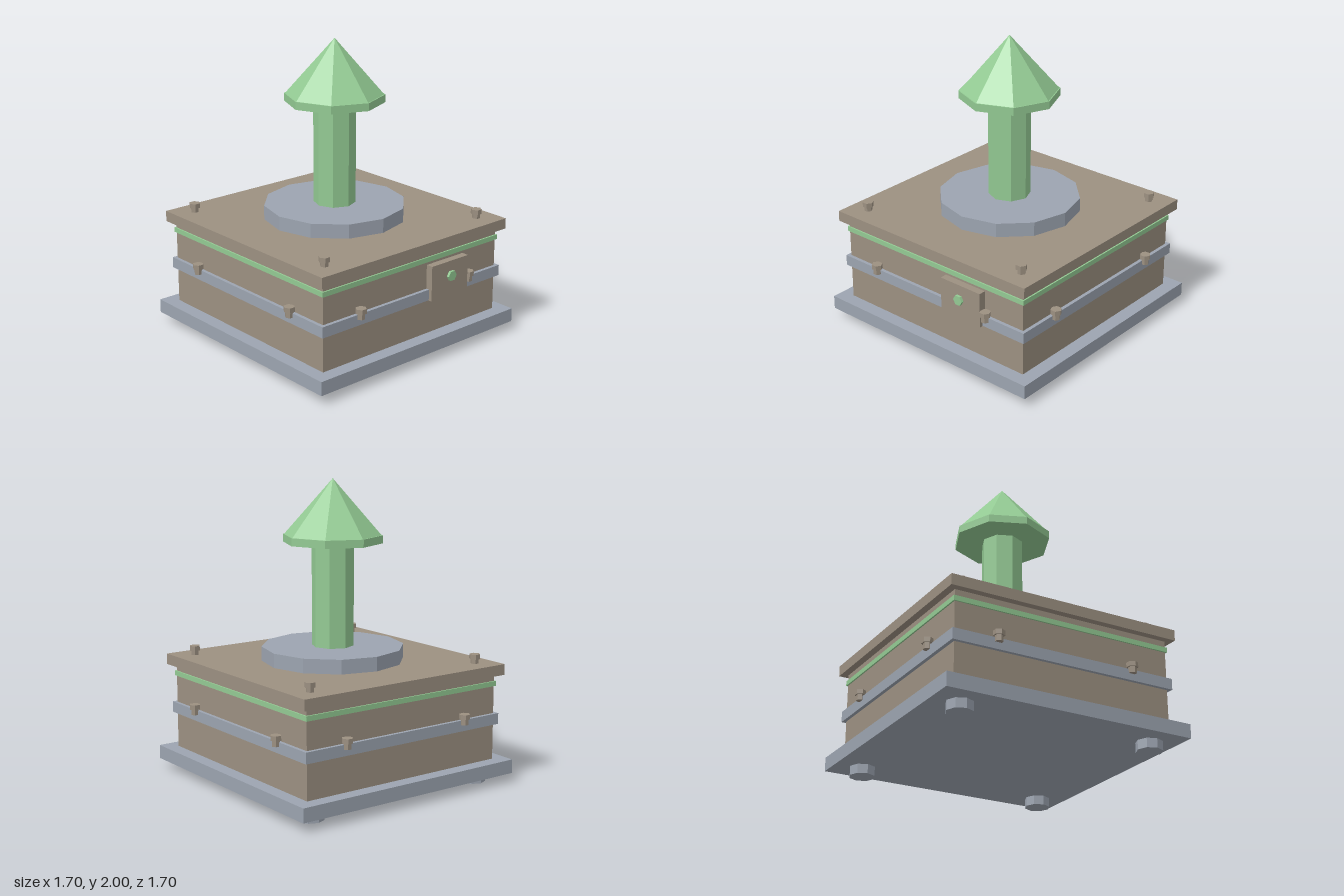
import * as THREE from 'three';

const material = (name, color) => {
  const m = new THREE.MeshStandardMaterial({ color });
  m.name = name;
  m.flatShading = true;
  return m;
};

export function createModel() {
  const tan = material('tan metal', 0x9c9081);
  const grey = material('blue grey metal', 0x9ca4b0);
  const green = material('pale green', 0x93ca93);

  const model = new THREE.Group();
  model.name = 'spikeOnBase';

  const add = (parent, name, geometry, mat, x = 0, y = 0, z = 0) => {
    const mesh = new THREE.Mesh(geometry, mat);
    mesh.name = name;
    mesh.position.set(x, y, z);
    parent.add(mesh);
    return mesh;
  };
  // Square slab between two heights
  const slab = (name, half, y0, y1, mat) =>
    add(model, name, new THREE.BoxGeometry(half * 2, y1 - y0, half * 2), mat, 0, (y0 + y1) / 2, 0);
  // Upright prism between two heights
  const prism = (parent, name, sides, r, y0, y1, mat, x = 0, z = 0) =>
    add(parent, name, new THREE.CylinderGeometry(r, r, y1 - y0, sides), mat, x, (y0 + y1) / 2, z);

  // Stacked square base
  slab('basePlate', 0.85, 0.062, 0.155, grey);
  slab('body', 0.756, 0.155, 0.73, tan);
  slab('trimBand', 0.78, 0.395, 0.468, grey);
  slab('greenBand', 0.766, 0.652, 0.685, green);
  slab('lid', 0.804, 0.728, 0.8, tan);

  // Collar, post and pointed head
  prism(model, 'collar', 12, 0.474, 0.8, 0.895, grey);
  prism(model, 'post', 8, 0.14, 0.895, 1.58, green);
  prism(model, 'headRim', 8, 0.33, 1.58, 1.632, green);
  add(model, 'headPoint', new THREE.ConeGeometry(0.323, 0.368, 8, 1, true), green, 0, 1.816, 0);

  // Hex bolt with a thinner shank, standing on y
  const bolt = (name, x, y, z, shank) => {
    const g = new THREE.Group();
    g.name = name;
    prism(g, 'shank', 6, 0.027, 0, shank, tan);
    prism(g, 'boltHead', 6, 0.037, shank, shank + 0.032, tan);
    g.rotation.y = Math.PI / 6;
    g.position.set(x, y, z);
    model.add(g);
  };

  for (const sx of [-1, 1]) {
    for (const sz of [-1, 1]) {
      prism(model, 'foot', 8, 0.086, 0, 0.062, grey, sx * 0.665, sz * 0.665);
      bolt('lidBolt', sx * 0.665, 0.8, sz * 0.665, 0.03);
      bolt('trimBolt', sx * 0.475, 0.44, sz * 0.787, 0.038);
      bolt('trimBolt', sx * 0.787, 0.44, sz * 0.475, 0.038);
    }
  }

  // Control panel with a hexagonal button
  add(model, 'panel', new THREE.BoxGeometry(0.327, 0.238, 0.06), tan, 0.283, 0.512, 0.775);
  const button = new THREE.CylinderGeometry(0.036, 0.036, 0.018, 6);
  button.rotateY(Math.PI / 6).rotateX(Math.PI / 2);
  add(model, 'button', button, green, 0.283, 0.535, 0.822);

  return model;
}
